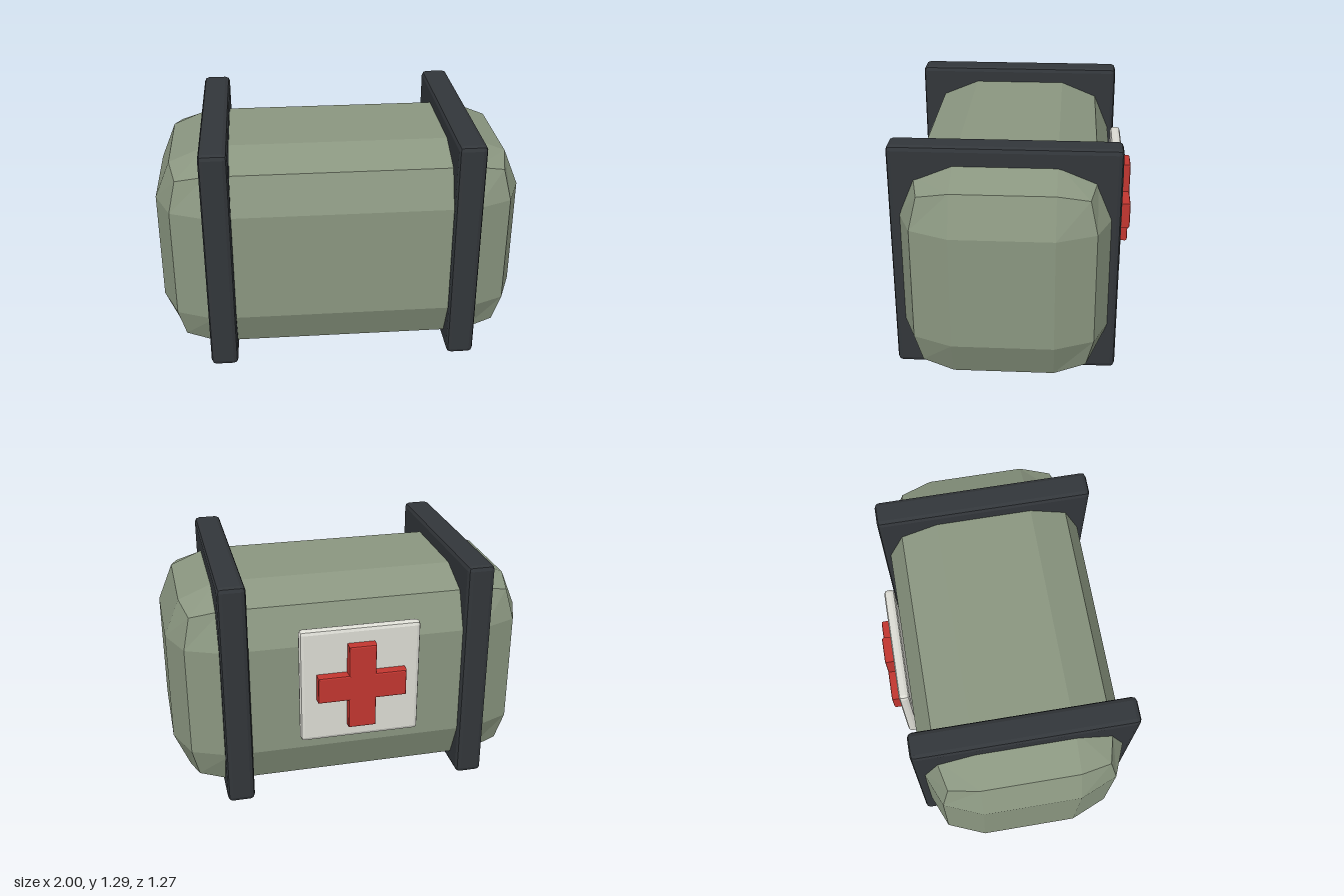
import * as THREE from 'three';
import { RoundedBoxGeometry } from 'three/addons/geometries/RoundedBoxGeometry.js';

const paint = (color) => new THREE.MeshStandardMaterial({ color, flatShading: true });

// Box given by its min and max corners, with a two-facet bevel on every edge
function bevelBox(name, min, max, radius, material) {
  const size = max.map((v, i) => v - min[i]);
  const mesh = new THREE.Mesh(new RoundedBoxGeometry(...size, 1, radius), material);
  mesh.position.set(...max.map((v, i) => (v + min[i]) / 2));
  mesh.name = name;
  return mesh;
}

export function createModel() {
  const group = new THREE.Group();
  group.name = 'firstAidCase';
  const green = paint(0x8a9680);
  const dark = paint(0x32363a);
  const white = paint(0xdcdcd4);
  const red = paint(0xc23630);

  // Heavily bevelled body
  group.add(bevelBox('body', [-1, 0, -0.52], [1, 1.2, 0.59], 0.29, green));

  // Square straps near both ends
  for (const [name, x] of [['leftStrap', 0.665], ['rightStrap', -0.665]]) {
    group.add(bevelBox(name, [x - 0.075, 0.007, -0.558], [x + 0.075, 1.288, 0.635], 0.026, dark));
  }

  // Plate on the back
  group.add(bevelBox('plate', [-0.33, 0.363, -0.585], [0.33, 1.02, -0.525], 0.022, white));

  // Raised cross on the plate
  const bevel = 0.01;
  const a = 0.242 - bevel; // arm reach
  const b = 0.075 - bevel; // arm half width
  const outline = [
    [b, -a], [b, -b], [a, -b], [a, b], [b, b], [b, a],
    [-b, a], [-b, b], [-a, b], [-a, -b], [-b, -b], [-b, -a],
  ].map(([x, y]) => new THREE.Vector2(x, y));
  const crossGeometry = new THREE.ExtrudeGeometry(new THREE.Shape(outline), {
    depth: 0.05, bevelSize: bevel, bevelThickness: bevel, bevelSegments: 2,
  });
  const cross = new THREE.Mesh(crossGeometry, red);
  cross.position.set(0, 0.692, -0.627);
  cross.name = 'cross';
  group.add(cross);

  return group;
}
